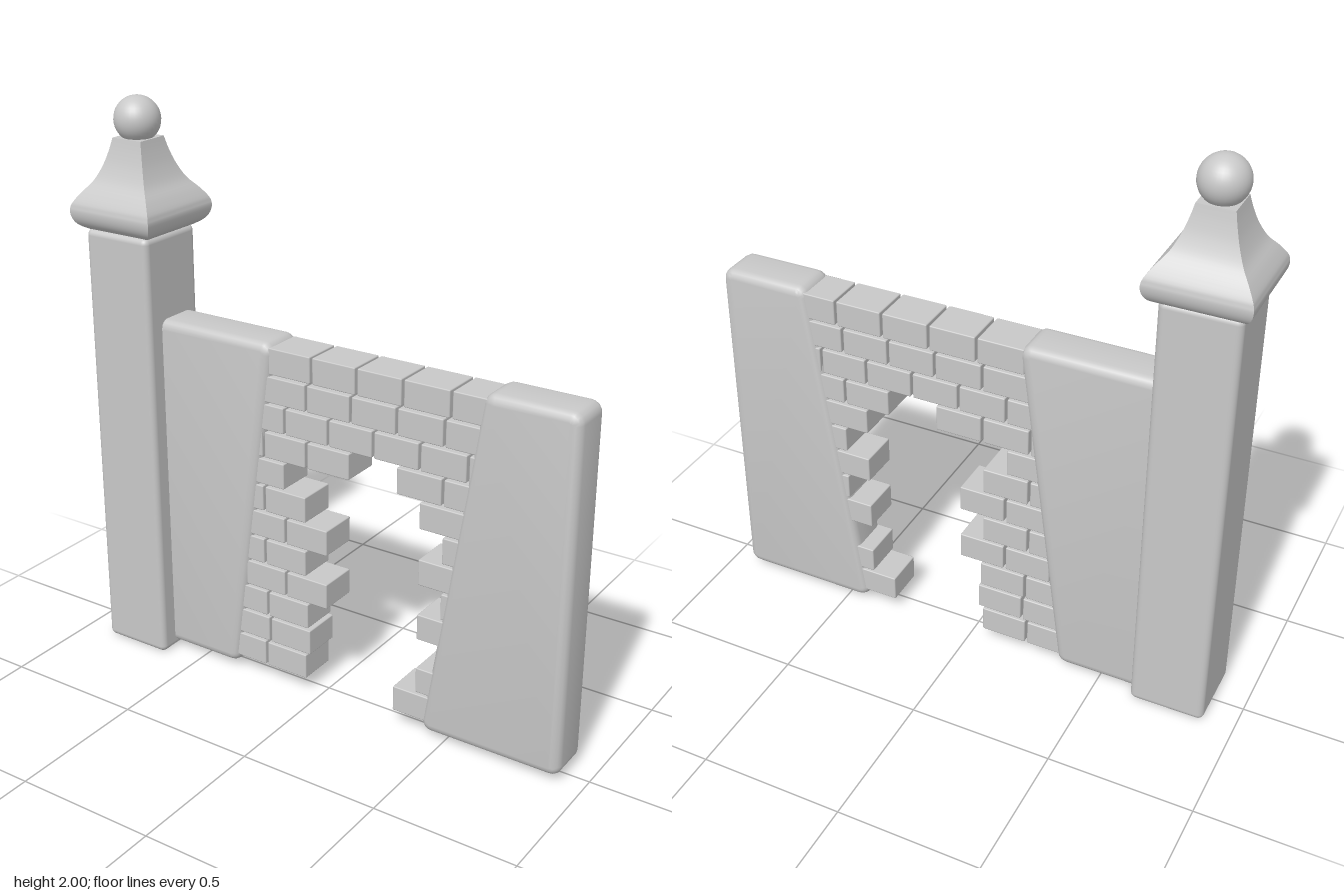
import * as THREE from 'three';
import { toCreasedNormals } from 'three/addons/utils/BufferGeometryUtils.js';
import { RoundedBoxGeometry } from 'three/addons/geometries/RoundedBoxGeometry.js';

const stone = new THREE.MeshStandardMaterial({ color: 0xc8c8c8 });
stone.name = 'grey stone';

function add(parent, name, geometry, x = 0, y = 0, z = 0) {
  const mesh = new THREE.Mesh(geometry, stone);
  mesh.name = name;
  mesh.position.set(x, y, z);
  parent.add(mesh);
  return mesh;
}

// Plastered wall slab: outline with softened corners, swelled by a round bevel
function slab(corners) {
  const bevel = 0.03, soft = 0.01;
  const pts = corners.map(([x, y]) => new THREE.Vector2(x, y));
  const shape = new THREE.Shape();
  pts.forEach((p, i) => {
    const prev = pts[(i + pts.length - 1) % pts.length];
    const next = pts[(i + 1) % pts.length];
    const a = p.clone().add(prev.clone().sub(p).setLength(soft));
    const b = p.clone().add(next.clone().sub(p).setLength(soft));
    if (i === 0) shape.moveTo(a.x, a.y);
    else shape.lineTo(a.x, a.y);
    shape.quadraticCurveTo(p.x, p.y, b.x, b.y);
  });
  shape.closePath();
  const geo = new THREE.ExtrudeGeometry(shape, {
    depth: 0.105, bevelEnabled: true, bevelSize: bevel, bevelThickness: bevel,
    bevelSegments: 4, curveSegments: 4,
  });
  geo.translate(0, 0, -0.06);
  return toCreasedNormals(geo, 0.7);
}

// Square cap: four-sided lathe with a smooth bell profile and sharp hips
function capGeometry() {
  const curve = new THREE.SplineCurve([
    [0.122, 1.555], [0.152, 1.575], [0.167, 1.605], [0.166, 1.64], [0.142, 1.68],
    [0.11, 1.72], [0.086, 1.77], [0.07, 1.82], [0.06, 1.862],
  ].map(([r, y]) => new THREE.Vector2(r * Math.SQRT2, y)));
  const profile = [new THREE.Vector2(0, 1.555), ...curve.getPoints(32), new THREE.Vector2(0, 1.862)];
  const geo = new THREE.LatheGeometry(profile, 4);
  geo.rotateY(Math.PI / 4);
  return toCreasedNormals(geo, 0.6);
}

export function createModel() {
  const model = new THREE.Group();
  model.name = 'ruinedGateWall';

  // Gate post with cap and ball
  const post = new THREE.Group();
  post.name = 'gatePost';
  post.position.x = -0.762;
  model.add(post);
  add(post, 'postShaft', new RoundedBoxGeometry(0.262, 1.56, 0.262, 4, 0.022), 0, 0.78, 0.01);
  add(post, 'postCap', capGeometry());
  add(post, 'postBall', new THREE.SphereGeometry(0.079, 32, 20), 0, 1.921, 0);

  // Slabs on either side of the broken brickwork
  add(model, 'rightWallSlab', slab([[-0.72, 0.05], [-0.372, 0.05], [-0.212, 1.235], [-0.72, 1.235]]));
  add(model, 'leftWallSlab', slab([[0.443, 0.05], [0.893, 0.05], [0.893, 1.24], [0.627, 1.24]]));

  // Brick courses from the top down, each brick placed in brick lengths
  const courses = [
    [0.12, 1.12, 2.12, 3.12, 4.12],
    [-1, 0, 1, 2, 3, 4],
    [-0.5, 0.5, 1.5, 2.5, 3.5, 4.5],
    [-1, 0, 1, 3, 4],
    [-0.5, 3.5, 4.5],
    [-1, 0, 4],
    [-1.5, -0.5, 0.5, 3.5, 4.5],
    [-1, 0, 4],
    [-1.5, -0.5, 0.5, 3.5, 4.5],
    [-0.95, 0.05, 4],
    [-0.9, 0.1, 3.5],
    [-1, 0, 3, 4],
  ];
  const pitch = 0.1722, length = 0.163;
  const bricks = new THREE.Group();
  bricks.name = 'brickwork';
  model.add(bricks);
  const brickGeo = new RoundedBoxGeometry(length, 0.092, 0.145, 1, 0.004);
  courses.forEach((course, row) => {
    for (const n of course) {
      add(bricks, 'brick', brickGeo, -0.217 + n * pitch + length / 2, 1.205 - row * 0.1005, -0.0075);
    }
  });

  return model;
}
